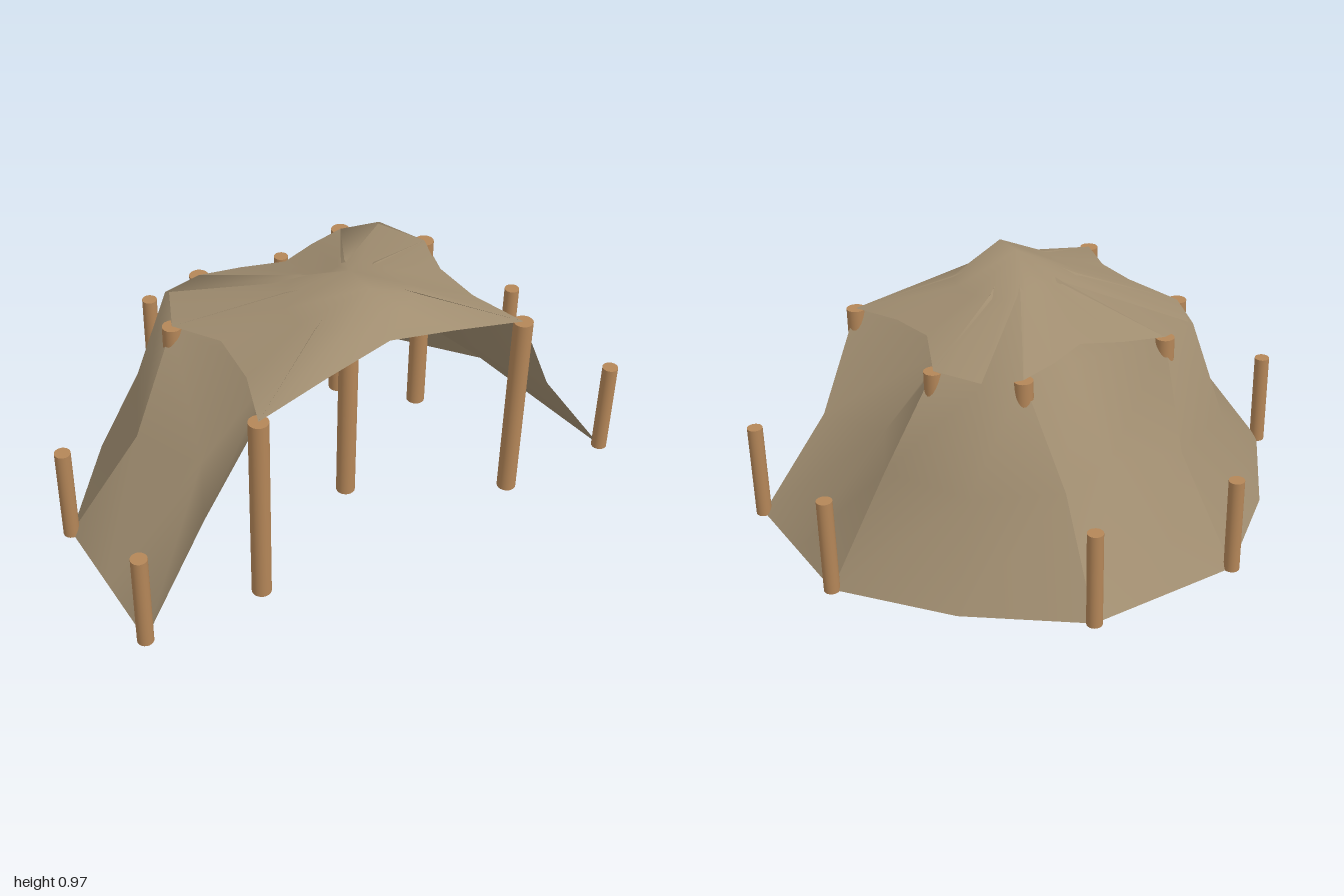
import * as THREE from 'three';
import { mergeVertices } from 'three/addons/utils/BufferGeometryUtils.js';

const canvas = new THREE.MeshStandardMaterial({ color: 0xa08d70, side: THREE.DoubleSide });
canvas.name = 'canvas';
const wood = new THREE.MeshStandardMaterial({ color: 0xb48658 });
wood.name = 'wood';

const flip = ([x, y, z]) => [-x, y, z];

// Smooth cloth from rows of points (every row has the same length)
function cloth(name, rows) {
  const n = rows[0].length;
  const index = [];
  for (let r = 0; r < rows.length - 1; r++) {
    for (let c = 0; c < n - 1; c++) {
      const a = r * n + c, b = a + 1, d = a + n, e = d + 1;
      index.push(a, d, b, b, d, e);
    }
  }
  const grid = new THREE.BufferGeometry();
  grid.setAttribute('position', new THREE.Float32BufferAttribute(rows.flat(2), 3));
  grid.setIndex(index);
  const geo = mergeVertices(grid);
  geo.computeVertexNormals();
  const mesh = new THREE.Mesh(geo, canvas);
  mesh.name = name;
  return mesh;
}

// Panel between two seams, hanging through a middle line
function panel(name, seamA, middle, seamB) {
  return cloth(name, seamA.map((a, r) => [a, middle[r], seamB[r]]));
}

function pole(name, x, z, height, radius) {
  const mesh = new THREE.Mesh(new THREE.CylinderGeometry(radius, radius, height, 20), wood);
  mesh.position.set(x, height / 2, z);
  mesh.name = name;
  return mesh;
}

export function createModel() {
  const group = new THREE.Group();

  // Seams: peak, ridge under the roof, pole top, sagging middle, ground anchor
  const peak = [0, 0.96, 0.35];
  const front = [peak, [0.21, 0.872, 0.45], [0.525, 0.75, 0.63], [0.71, 0.375, 0.583], [0.97, 0, 0.63]];
  const side = [peak, [0.19, 0.874, 0.215], [0.525, 0.75, 0.033], [0.71, 0.375, 0.085], [0.97, 0, 0.033]];
  const back = [peak, [0.09, 0.885, 0.16], [0.3, 0.75, -0.195], [0.25, 0.375, -0.385], [0.3, 0, -0.64]];

  // Roof: half of the hem and of the ring halfway up, from front to back
  const hem = [
    [0, 0.84, 0.585], [0.25, 0.8, 0.605], front[2], [0.455, 0.765, 0.43], [0.44, 0.78, 0.23],
    side[2], [0.45, 0.75, -0.16], back[2], [0.15, 0.755, -0.155], [0, 0.763, -0.095],
  ];
  const ring = [
    [0, 0.905, 0.52], [0.11, 0.88, 0.5], [0.21, 0.868, 0.45], [0.225, 0.862, 0.38], [0.22, 0.862, 0.28],
    [0.19, 0.87, 0.215], [0.15, 0.868, 0.17], [0.09, 0.881, 0.16], [0.05, 0.885, 0.18], [0, 0.887, 0.2],
  ];
  const ridge = hem.map((p, i) => [0, 0.97, i < 4 ? 0.45 : 0.33]);
  const around = (half) => [...half, ...half.slice(0, -1).reverse().map(flip)];
  group.add(cloth('roof', [ridge, ring, hem].map(around)));

  // Walls run on under the roof to the peak; corner walls bulge outwards at the ground
  const sideMiddle = [peak, [0.13, 0.82, 0.33], [0.31, 0.645, 0.33], [0.585, 0.38, 0.33], [0.97, 0, 0.33]];
  const cornerMiddle = [peak, [0.14, 0.855, 0.17], [0.452, 0.75, -0.162], [0.55, 0.375, -0.235], [0.675, 0, -0.345]];
  for (const [label, m] of [['left', (p) => p], ['right', flip]]) {
    group.add(panel(label + 'SideWall', front.map(m), sideMiddle.map(m), side.map(m)));
    group.add(panel(label + 'CornerWall', side.map(m), cornerMiddle.map(m), back.map(m)));

    // Tall poles under the roof corners, short stakes at the ground anchors
    for (const seam of [front, side, back]) {
      const [, , top, , foot] = seam.map(m);
      group.add(pole(label + 'TallPole', top[0], top[2], 0.75, 0.035));
      group.add(pole(label + 'Stake', foot[0], foot[2], 0.375, 0.029));
    }
  }

  // Back wall
  const backMiddle = [peak, [0, 0.83, 0.13], [0, 0.66, -0.04], [0, 0.375, -0.29], [0, 0, -0.64]];
  group.add(panel('backWall', back, backMiddle, back.map(flip)));

  // Centre pole
  group.add(pole('centrePole', 0, 0.34, 0.94, 0.035));

  return group;
}
